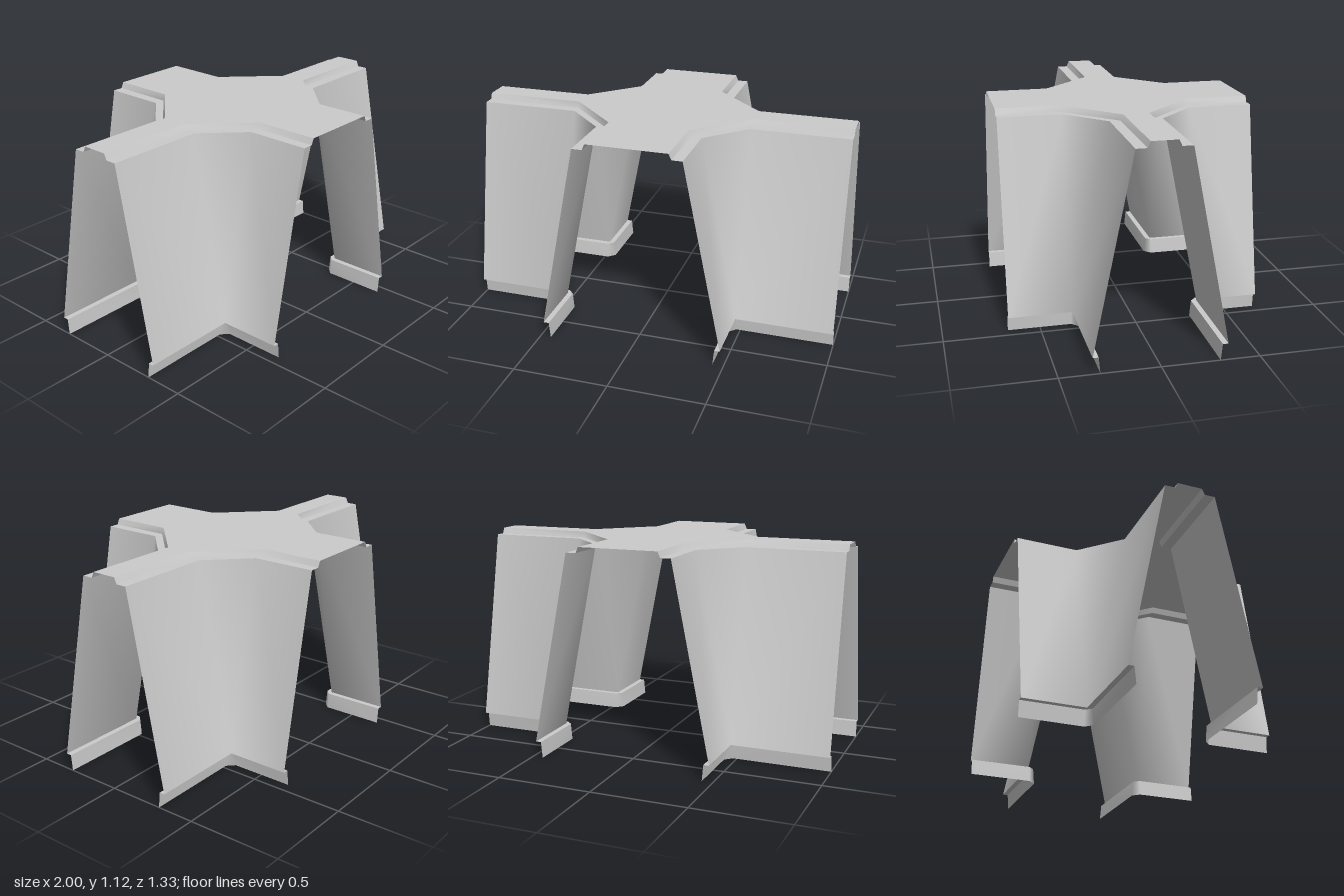
import * as THREE from 'three';
import { mergeVertices } from 'three/addons/utils/BufferGeometryUtils.js';

const END_X = 1, END_Z = 0.667;          // ends of the arms
const CORNER_X = 0.48, CORNER_Z = 0.335; // foot of each inner corner
const TOP = 1.118, LEDGE = 1.087, FOOT = 0.085;

const material = new THREE.MeshStandardMaterial({ color: 0xcccccc, side: THREE.DoubleSide });

// Plan outline of one corner, pulled in towards the arms by d (cuts the corner at 45 degrees)
const outline = (d) => [
  [END_X, CORNER_Z - d],
  [CORNER_X, CORNER_Z - d],
  [CORNER_X - d, CORNER_Z],
  [CORNER_X - d, END_Z],
];

// Strip of wall between two levels [inset, y], mirrored by sx and sz
function bandGeometry([d0, y0], [d1, y1], sx, sz) {
  const upper = outline(d0).map(([x, z]) => [x * sx, y0, z * sz]);
  const lower = outline(d1).map(([x, z]) => [x * sx, y1, z * sz]);
  const positions = [];
  const addTriangle = (a, b, c) => {
    const corners = sx * sz > 0 ? [a, b, c] : [a, c, b];
    positions.push(...corners.flat());
  };
  for (let i = 0; i < 3; i++) {
    addTriangle(upper[i + 1], lower[i + 1], upper[i]);
    // the cut closes to a point where the inset is zero
    if (d1 > 0 || i !== 1) addTriangle(upper[i], lower[i + 1], lower[i]);
  }
  let geometry = new THREE.BufferGeometry();
  geometry.setAttribute('position', new THREE.Float32BufferAttribute(positions, 3));
  geometry = mergeVertices(geometry);
  geometry.computeVertexNormals();
  return geometry;
}

// Levels from the roof edge down to the ground, with the band below each
const levels = [
  { level: [0.269, TOP], band: 'roofLip' },
  { level: [0.255, LEDGE], band: 'ledge' },
  { level: [0.2, LEDGE], band: 'slopingWall' },
  { level: [0, FOOT], band: 'wallOverhang' },
  { level: [0.029, FOOT], band: 'plinth' },
  { level: [0.037, 0] },
];

// Flat cross-shaped roof
function roofGeometry() {
  const quarter = outline(levels[0].level[0]);
  const points = [];
  for (const [sx, sz] of [[1, 1], [-1, 1], [-1, -1], [1, -1]]) {
    const part = quarter.map(([x, z]) => new THREE.Vector2(x * sx, z * sz));
    points.push(...(sx * sz > 0 ? part : part.reverse()));
  }
  return new THREE.ShapeGeometry(new THREE.Shape(points)).rotateX(-Math.PI / 2).translate(0, TOP, 0);
}

export function createModel() {
  const model = new THREE.Group();
  model.name = 'crossJunction';

  const roof = new THREE.Mesh(roofGeometry(), material);
  roof.name = 'roof';
  model.add(roof);

  // Four mirrored corner walls
  for (const sx of [1, -1]) {
    for (const sz of [1, -1]) {
      const corner = new THREE.Group();
      corner.name = (sz > 0 ? 'front' : 'back') + (sx > 0 ? 'Left' : 'Right') + 'Corner';
      for (let i = 0; i < levels.length - 1; i++) {
        const mesh = new THREE.Mesh(bandGeometry(levels[i].level, levels[i + 1].level, sx, sz), material);
        mesh.name = levels[i].band;
        corner.add(mesh);
      }
      model.add(corner);
    }
  }
  return model;
}
